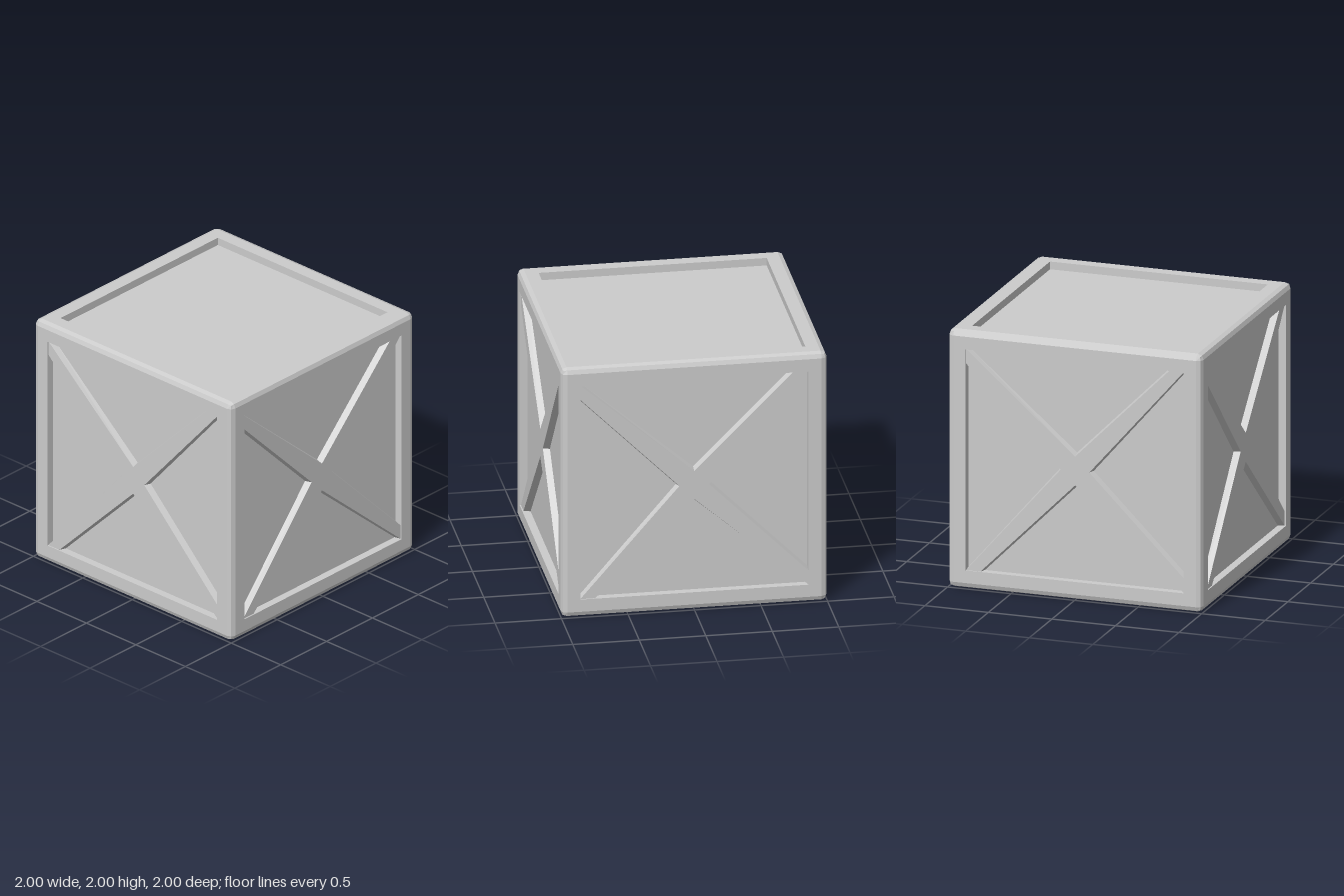
import * as THREE from 'three';
import { RoundedBoxGeometry } from 'three/addons/geometries/RoundedBoxGeometry.js';

const BEVEL = 0.045;   // edge rounding of the crate
const INNER = 0.857;   // half size of each recess
const DEPTH = 0.06;    // recess depth
const BRACE_TOP = 0.99;

const material = new THREE.MeshStandardMaterial({ color: 0xcccccc, flatShading: true });

function part(name, geometry, z = 0) {
  const mesh = new THREE.Mesh(geometry, material);
  mesh.name = name;
  mesh.position.z = z;
  return mesh;
}

// Two-step bevelled edges: a rounded box without its six flat faces
function edgeGeometry() {
  const source = new RoundedBoxGeometry(2, 2, 2, 1, BEVEL);
  const p = source.attributes.position;
  const kept = [];
  for (let t = 0; t < p.count; t += 3) {
    const corners = [0, 1, 2].map(i => new THREE.Vector3().fromBufferAttribute(p, t + i).toArray());
    const flat = [0, 1, 2].some(axis => corners.every(c => Math.abs(c[axis]) > 0.9999));
    if (!flat) kept.push(...corners.flat());
  }
  const geometry = new THREE.BufferGeometry();
  geometry.setAttribute('position', new THREE.Float32BufferAttribute(kept, 3));
  geometry.computeVertexNormals();
  return geometry;
}

function square(h, Type = THREE.Shape) {
  return new Type([[-h, -h], [h, -h], [h, h], [-h, h]].map(([x, y]) => new THREE.Vector2(x, y)));
}

// Square border around a recess
function borderGeometry() {
  const shape = square(1 - BEVEL);
  shape.holes.push(square(INNER, THREE.Path));
  return new THREE.ExtrudeGeometry(shape, { depth: DEPTH, bevelEnabled: false });
}

// Diagonal cross with slightly sloping sides
function braceGeometry() {
  const k = 0.112, h = INNER + 0.002;
  const points = [];
  for (let i = 0; i < 4; i++) {
    for (const [x, y] of [[h, h], [h - k, h], [0, k]]) {
      points.push(new THREE.Vector2(x, y).rotateAround(new THREE.Vector2(), i * Math.PI / 2));
    }
  }
  return new THREE.ExtrudeGeometry(new THREE.Shape(points), {
    depth: 0.01, bevelThickness: 0.05, bevelSize: 0.013, bevelSegments: 1,
  });
}

export function createModel() {
  const crate = new THREE.Group();
  crate.name = 'crate';

  const body = new THREE.Group();
  body.name = 'body';
  body.position.y = 1;
  crate.add(body);
  body.add(part('bevelledEdges', edgeGeometry()));

  const border = borderGeometry();
  const panel = new THREE.PlaneGeometry(2 * INNER, 2 * INNER);
  const brace = braceGeometry();

  // Six recessed sides; the four upright ones carry a cross brace
  const sides = [
    ['front', 0, 0], ['left', 0, 1], ['back', 0, 2], ['right', 0, 3],
    ['top', -1, 0], ['bottom', 1, 0],
  ];
  for (const [name, pitch, turn] of sides) {
    const side = new THREE.Group();
    side.name = name + 'Side';
    side.rotation.set(pitch * Math.PI / 2, turn * Math.PI / 2, 0);
    side.add(part(name + 'Border', border, 1 - DEPTH));
    side.add(part(name + 'Panel', panel, 1 - DEPTH));
    if (pitch === 0) side.add(part(name + 'CrossBrace', brace, BRACE_TOP - 0.06));
    body.add(side);
  }
  return crate;
}
